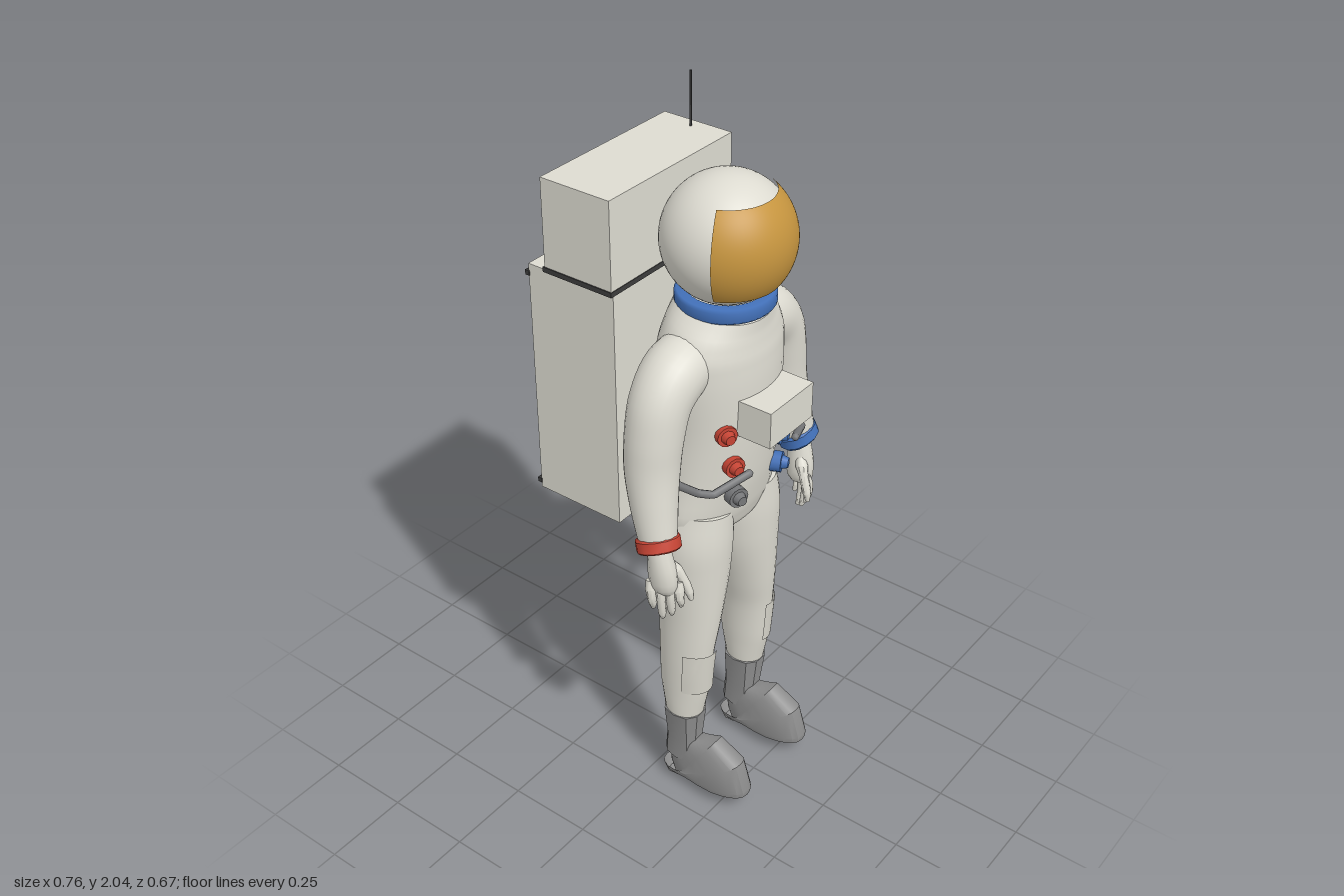
import * as THREE from 'three';
import { toCreasedNormals } from 'three/addons/utils/BufferGeometryUtils.js';

const mat = (name, color, side = THREE.FrontSide) => {
  const m = new THREE.MeshStandardMaterial({ color, side });
  m.name = name;
  return m;
};

// Skin of elliptical rings along a path. Each section is [x, y, z, rx, rz].
function loft(sections, { sides = 28, steps = 1, power = 1, arc = null, crease = 0.8 } = {}) {
  const centre = new THREE.CatmullRomCurve3(sections.map(s => new THREE.Vector3(s[0], s[1], s[2])));
  const radius = new THREE.CatmullRomCurve3(sections.map(s => new THREE.Vector3(s[3], s[4] ?? s[3], 0)));
  const rows = (sections.length - 1) * steps, pos = [], index = [];
  const [a0, a1] = arc ?? [0, Math.PI * 2];
  const zAxis = new THREE.Vector3(0, 0, 1);
  const soft = v => Math.sign(v) * Math.abs(v) ** power;
  for (let i = 0; i <= rows; i++) {
    const c = centre.getPoint(i / rows), r = radius.getPoint(i / rows);
    const t = centre.getPoint(Math.min(1, (i + 0.5) / rows)).sub(centre.getPoint(Math.max(0, (i - 0.5) / rows))).normalize();
    const u = new THREE.Vector3().crossVectors(t, zAxis).normalize();
    const v = new THREE.Vector3().crossVectors(u, t);
    for (let j = 0; j <= sides; j++) {
      const a = a0 + (a1 - a0) * (j === sides && !arc ? 0 : j / sides);
      const p = c.clone().addScaledVector(u, r.x * soft(Math.cos(a))).addScaledVector(v, r.y * soft(Math.sin(a)));
      pos.push(p.x, p.y, p.z);
    }
  }
  const w = sides + 1;
  for (let i = 0; i < rows; i++) for (let j = 0; j < sides; j++) {
    const a = i * w + j, b = a + w;
    index.push(a, b, a + 1, b, b + 1, a + 1);
  }
  if (!arc) { // end caps
    const first = centre.getPoint(0), last = centre.getPoint(1), n = pos.length / 3;
    pos.push(first.x, first.y, first.z, last.x, last.y, last.z);
    for (let j = 0; j < sides; j++) {
      index.push(n, j, j + 1);
      index.push(n + 1, rows * w + j + 1, rows * w + j);
    }
  }
  const g = new THREE.BufferGeometry();
  g.setAttribute('position', new THREE.Float32BufferAttribute(pos, 3));
  g.setIndex(index);
  return toCreasedNormals(g, crease);
}

export function createModel() {
  const model = new THREE.Group();
  const suit = mat('suit white', 0xdddbd1);
  const patchWhite = mat('patch white', 0xd8d6cc, THREE.DoubleSide);
  const grey = mat('boot grey', 0x8e8e8e);
  const hoseGrey = mat('hose grey', 0x77787a);
  const blue = mat('blue', 0x4270b8);
  const red = mat('red', 0xc64434);
  const gold = mat('visor gold', 0xc6953f, THREE.DoubleSide);
  const dark = mat('trim dark', 0x3c3c3c);

  const add = (name, geo, material, x = 0, y = 0, z = 0, parent = model) => {
    const m = new THREE.Mesh(geo, material);
    m.name = name;
    m.position.set(x, y, z);
    parent.add(m);
    return m;
  };
  const box = (name, material, x0, x1, y0, y1, z0, z1) =>
    add(name, new THREE.BoxGeometry(x1 - x0, y1 - y0, z1 - z0), material, (x0 + x1) / 2, (y0 + y1) / 2, (z0 + z1) / 2);

  // Torso
  add('torso', loft([
    [0, 0.855, 0.1, 0.06, 0.06], [0, 0.88, 0.098, 0.165, 0.1], [0, 0.94, 0.096, 0.205, 0.12],
    [0, 1.05, 0.1, 0.19, 0.136], [0, 1.2, 0.105, 0.185, 0.145], [0, 1.35, 0.106, 0.195, 0.147],
    [0, 1.43, 0.107, 0.195, 0.142], [0, 1.49, 0.112, 0.17, 0.13], [0, 1.54, 0.12, 0.125, 0.12],
  ], { sides: 40, steps: 4 }), suit);

  // Helmet, visor and neck ring
  const deg = Math.PI / 180;
  add('helmet', new THREE.SphereGeometry(0.17, 48, 32), suit, 0, 1.71, 0.122);
  add('visor', new THREE.SphereGeometry(0.177, 40, 24, 23 * deg, 134 * deg, 43 * deg, 85 * deg), gold, 0, 1.71, 0.122);
  add('neckRing', new THREE.LatheGeometry([[0.1, -0.02], [0.125, -0.02], [0.131, -0.012], [0.131, 0.012],
    [0.125, 0.02], [0.1, 0.02]].map(p => new THREE.Vector2(...p)), 36), blue, 0, 1.55, 0.12);

  for (const s of [1, -1]) {
    const side = new THREE.Group();
    side.name = s > 0 ? 'leftLimbs' : 'rightLimbs';
    model.add(side);
    const flip = list => list.map(([x, ...rest]) => [x * s, ...rest]);
    const part = (name, sections, material, options) => add(name, loft(flip(sections), options), material, 0, 0, 0, side);

    // Leg with a raised patch on the outer shin
    part('leg', [
      [0.1, 0.95, 0.098, 0.095, 0.112], [0.11, 0.85, 0.1, 0.106, 0.115], [0.115, 0.75, 0.104, 0.099, 0.108],
      [0.13, 0.6, 0.108, 0.076, 0.095], [0.142, 0.49, 0.107, 0.063, 0.085], [0.146, 0.35, 0.104, 0.057, 0.077],
      [0.148, 0.25, 0.104, 0.052, 0.058], [0.148, 0.2, 0.104, 0.046, 0.05],
    ], suit, { steps: 5 });
    part('shinPatch', [[0.142, 0.35, 0.104, 0.063, 0.083], [0.143, 0.42, 0.106, 0.066, 0.086], [0.141, 0.49, 0.107, 0.069, 0.091]],
      patchWhite, { sides: 10, steps: 2, arc: s > 0 ? [20 * deg, 108 * deg] : [72 * deg, 160 * deg] });

    // Boot
    part('bootShaft', [[0.143, 0.06, 0.095, 0.042, 0.056], [0.144, 0.14, 0.1, 0.045, 0.053], [0.147, 0.25, 0.104, 0.057, 0.061]],
      grey, { sides: 10, power: 0.85, crease: 0.5 });
    const foot = part('foot', [
      [0.142, 0, 0.182, 0.054, 0.146], [0.142, 0.018, 0.18, 0.059, 0.15], [0.142, 0.045, 0.175, 0.057, 0.149],
      [0.142, 0.065, 0.15, 0.053, 0.124], [0.142, 0.085, 0.12, 0.047, 0.09], [0.142, 0.108, 0.1, 0.04, 0.058],
    ], grey, { sides: 24, power: 0.8, crease: 0.5 });
    const fp = foot.geometry.attributes.position;
    for (let i = 0; i < fp.count; i++) { // pinch the instep
      const pinch = 1 - 0.2 * Math.exp(-(((fp.getZ(i) - 0.13) / 0.06) ** 2));
      fp.setX(i, s * 0.142 + (fp.getX(i) - s * 0.142) * pinch);
    }

    // Arm and cuff
    part('arm', [
      [0.1, 1.415, 0.102, 0.085], [0.185, 1.402, 0.102, 0.086], [0.243, 1.35, 0.102, 0.081], [0.271, 1.26, 0.102, 0.077],
      [0.284, 1.17, 0.104, 0.073], [0.301, 1.07, 0.122, 0.063], [0.316, 0.975, 0.145, 0.051], [0.319, 0.955, 0.149, 0.047],
    ], suit, { steps: 5 });
    part('cuff', [[0.312, 0.986, 0.139, 0.052], [0.314, 0.979, 0.142, 0.06], [0.32, 0.953, 0.152, 0.06], [0.322, 0.946, 0.155, 0.052]],
      s > 0 ? blue : red, { sides: 12, crease: 0.6 });

    // Hand
    part('palm', [
      [0.32, 0.96, 0.148, 0.031, 0.031], [0.32, 0.925, 0.155, 0.032, 0.034], [0.317, 0.875, 0.16, 0.034, 0.042],
      [0.315, 0.835, 0.163, 0.031, 0.04], [0.314, 0.815, 0.165, 0.02, 0.03],
    ], suit, { sides: 14, steps: 2 });
    const tips = [0.765, 0.735, 0.722, 0.755];
    tips.forEach((tip, k) => {
      const x = 0.296 + k * 0.013, z = 0.196 - k * 0.021;
      part('finger', [[x, 0.85, z, 0.012], [x + 0.006, 0.8, z + 0.008, 0.012], [x, tip + 0.02, z + 0.008, 0.011], [x - 0.006, tip, z + 0.004, 0.006]],
        suit, { sides: 8, steps: 2 });
    });
    part('thumb', [[0.3, 0.9, 0.172, 0.014], [0.284, 0.86, 0.195, 0.014], [0.275, 0.81, 0.215, 0.012], [0.273, 0.785, 0.22, 0.006]],
      suit, { sides: 8, steps: 2 });

    // Hose from the pack round the waist, bent at sharp corners
    const path = new THREE.CurvePath();
    const pts = [[0.165, 1.07, -0.055], [0.222, 1.085, 0.005], [0.218, 1.09, 0.2], [0.2, 1.09, 0.235], [0.105, 1.122, 0.278]]
      .map(([x, y, z]) => new THREE.Vector3(x * s, y, z));
    for (let i = 1; i < pts.length; i++) path.add(new THREE.LineCurve3(pts[i - 1], pts[i]));
    add('waistHose', new THREE.TubeGeometry(path, 40, 0.011, 8), hoseGrey, 0, 0, 0, side);
    add('hoseEnd', new THREE.SphereGeometry(0.0112, 8, 6), hoseGrey, ...pts[4].toArray(), side);
  }

  // Chest control box and hose connectors
  box('chestBox', suit, -0.095, 0.093, 1.215, 1.32, 0.2, 0.333);
  const knobs = [[-0.12, 1.225, red], [-0.1, 1.122, red], [-0.09, 1.022, hoseGrey],
    [0.118, 1.22, hoseGrey], [0.088, 1.122, blue], [0.1, 1.022, blue]];
  for (const [x, y, material] of knobs) {
    const knob = new THREE.Group();
    knob.name = 'connector';
    knob.position.set(x, y, 0.1 + 0.142 * Math.sqrt(1 - (x / 0.188) ** 2));
    knob.rotation.y = x * 4;
    model.add(knob);
    const base = add('connectorBase', new THREE.CylinderGeometry(0.029, 0.029, 0.03, 12), material, 0, 0, 0.004, knob);
    const cap = add('connectorCap', new THREE.CylinderGeometry(0.014, 0.02, 0.02, 10), material, 0, 0, 0.027, knob);
    base.rotation.x = cap.rotation.x = Math.PI / 2;
  }

  // Backpack with dark trim and antenna
  box('lowerPack', suit, -0.238, 0.236, 0.893, 1.59, -0.325, -0.048);
  box('upperPack', suit, -0.247, 0.245, 1.604, 1.85, -0.262, -0.046);
  box('packSeam', dark, -0.25, 0.248, 1.59, 1.604, -0.266, -0.044);
  for (const y of [0.915, 1.563]) box('packStrip', dark, -0.241, 0.239, y - 0.007, y + 0.007, -0.335, -0.322);
  add('antenna', new THREE.CylinderGeometry(0.003, 0.003, 0.16, 8), dark, 0.213, 1.92, -0.153);

  return model;
}
